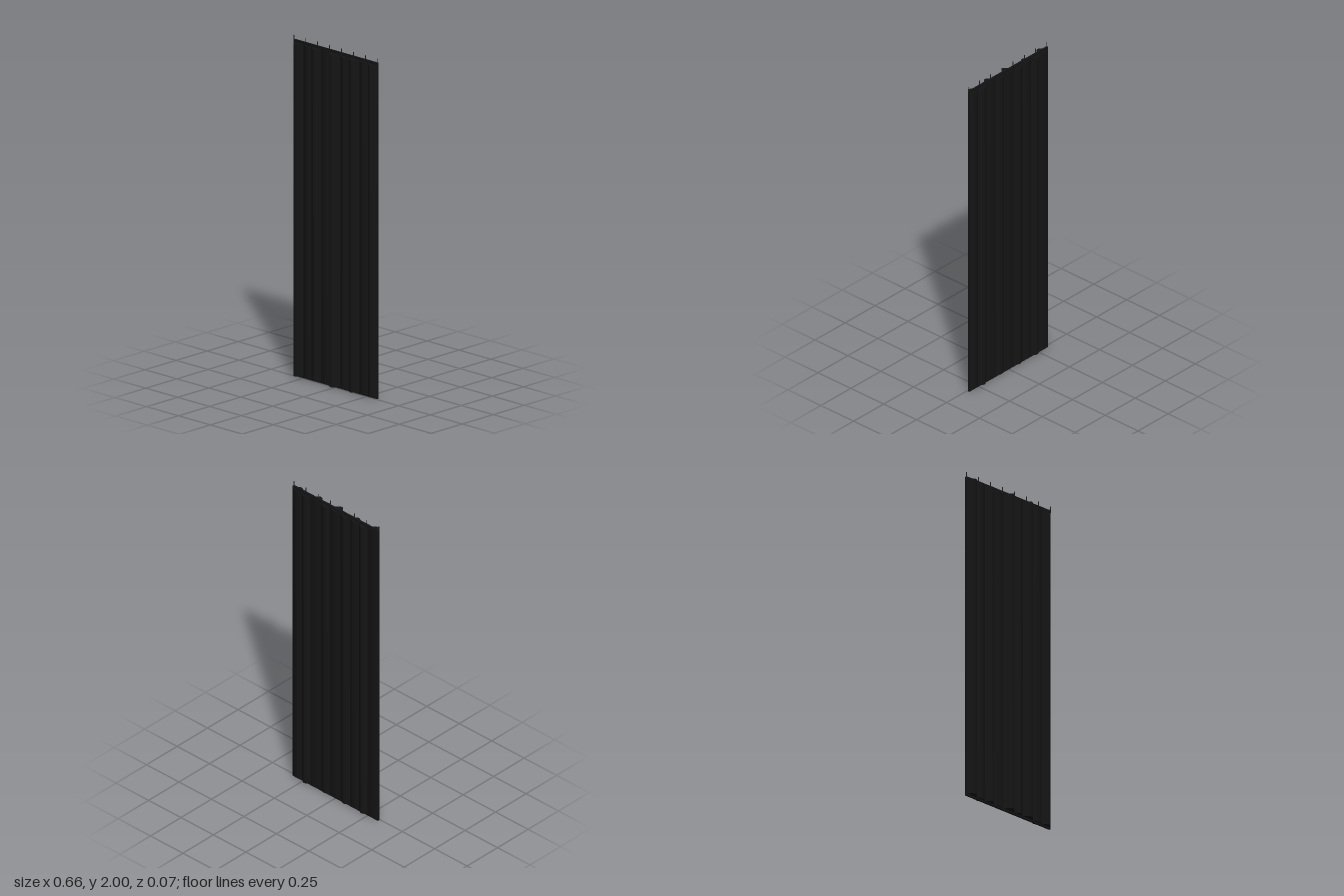
import * as THREE from 'three';
import { toCreasedNormals } from 'three/addons/utils/BufferGeometryUtils.js';

const HALF = 0.328;              // half width of the curtain
const FRONT = -0.005, BACK = -0.017; // faces of the flat tape between the folds

// fold boundaries along x, and how far each fold reaches forward and back
const nodes = [-HALF, -0.248, -0.185, -0.113, -0.04, 0.04, 0.11, 0.19, 0.256, HALF];
const frontPeaks = [0.028, 0.007, 0.021, 0.002, 0.035, 0.013, 0.028, 0.007, 0.021];
const backPeaks = [-0.023, -0.037, -0.028, -0.034, -0.025, -0.031, -0.022, -0.037, -0.028];

// one wavy side of the cross-section, from left to right
function wave(base, peaks) {
  const steps = 12, pts = [new THREE.Vector2(nodes[0], -base)];
  peaks.forEach((peak, i) => {
    const power = Math.abs(peak - base) > 0.015 ? 1.3 : 1;
    for (let s = 1; s <= steps; s++) {
      const t = s / steps;
      const bulge = Math.pow(Math.max(0, Math.sin(Math.PI * t)), power);
      pts.push(new THREE.Vector2(
        THREE.MathUtils.lerp(nodes[i], nodes[i + 1], t),
        -(base + (peak - base) * bulge)
      ));
    }
  });
  return pts;
}

export function createModel() {
  const model = new THREE.Group();
  model.name = 'curtain';
  const cloth = new THREE.MeshStandardMaterial({ color: 0x141414 });
  const metal = new THREE.MeshStandardMaterial({ color: 0x202020 });

  const add = (name, geometry, material, x, y, z) => {
    const mesh = new THREE.Mesh(geometry, material);
    mesh.name = name;
    mesh.position.set(x, y, z);
    model.add(mesh);
  };

  // pleated cloth, extruded upward
  const outline = [...wave(FRONT, frontPeaks), ...wave(BACK, backPeaks).reverse()];
  const folds = new THREE.ExtrudeGeometry(new THREE.Shape(outline), {
    depth: 1.95, bevelEnabled: false,
  });
  folds.rotateX(-Math.PI / 2);
  add('pleats', toCreasedNormals(folds, Math.PI / 5), cloth, 0, 0.01, 0);

  // straight header tape and bottom hem
  const depth = FRONT - BACK, mid = (FRONT + BACK) / 2;
  add('headerTape', new THREE.BoxGeometry(HALF * 2, 0.025, depth), cloth, 0, 1.9625, mid);
  add('bottomHem', new THREE.BoxGeometry(HALF * 2, 0.02, depth), cloth, 0, 0.01, mid);

  // row of thin hooks along the top
  const hook = new THREE.CylinderGeometry(0.0025, 0.0025, 0.04, 8);
  for (let i = 0; i < 8; i++) {
    add('hook', hook, metal, -0.327 + (i * 0.654) / 7, 1.98, -0.007);
  }
  return model;
}
